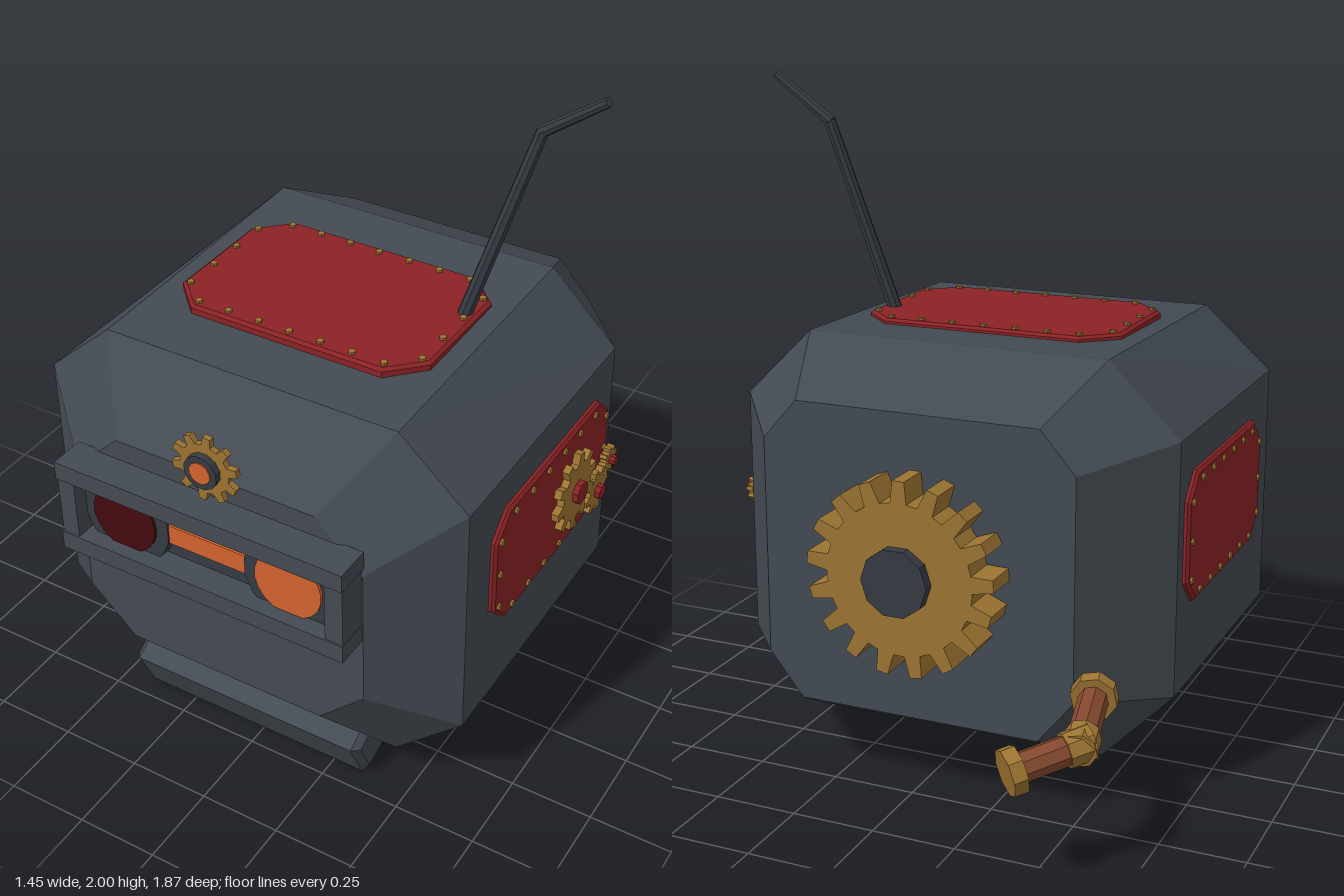
import * as THREE from 'three';

const mat = (name, color) => {
  const m = new THREE.MeshStandardMaterial({ color });
  m.name = name;
  return m;
};

export function createModel() {
  const steel = mat('steel', 0x434a52);
  const darkSteel = mat('darkSteel', 0x353b42);
  const red = mat('redPanel', 0x8a2225);
  const brass = mat('brass', 0x9c7432);
  const copper = mat('copper', 0x85492f);
  const orange = mat('orangeGlow', 0xd2632e);
  const darkLens = mat('darkLens', 0x440b0f);

  const root = new THREE.Group();
  root.name = 'robotHead';
  const CX = -0.023;

  // Adds a flat-faced mesh to a parent
  function add(parent, name, geo, material, x = 0, y = 0, z = 0) {
    const g = geo.index ? geo.toNonIndexed() : geo;
    g.computeVertexNormals();
    const m = new THREE.Mesh(g, material);
    m.name = name;
    m.position.set(x, y, z);
    parent.add(m);
    return m;
  }
  const box = (w, h, d) => new THREE.BoxGeometry(w, h, d);
  // Disc whose axis is z, starting at z = 0
  const disc = (r, depth, sides = 12) =>
    new THREE.CylinderGeometry(r, r, depth, sides).rotateX(Math.PI / 2)
      .rotateZ(Math.PI / sides).translate(0, 0, depth / 2);

  // Rod between two points
  const V = (x, y, z) => new THREE.Vector3(x, y, z);
  function rod(parent, name, a, b, r0, r1, sides, material) {
    const dir = b.clone().sub(a);
    const mid = a.clone().add(b).multiplyScalar(0.5);
    const m = add(parent, name, new THREE.CylinderGeometry(r1, r0, dir.length(), sides),
      material, mid.x, mid.y, mid.z);
    m.quaternion.setFromUnitVectors(V(0, 1, 0), dir.normalize());
    return m;
  }

  // Head shell: octagonal sections from back to front
  const section = (z, side, top, yb, s0, s1, yt) =>
    [[side, s0], [side, s1], [top, yt], [-top, yt], [-side, s1], [-side, s0], [-top, yb], [top, yb]]
      .map(([x, y]) => [x + CX, y, z]);
  const rings = [
    section(-0.51, 0.475, 0.37, 0.24, 0.37, 1.02, 1.14),
    section(-0.245, 0.678, 0.465, 0.10, 0.32, 1.07, 1.28),
    section(0.65, 0.678, 0.465, 0.12, 0.32, 1.07, 1.262),
    section(0.83, 0.465, 0.32, 0.33, 0.47, 0.91, 1.05),
  ];
  const pos = [];
  for (let k = 0; k < rings.length - 1; k++) {
    for (let i = 0; i < 8; i++) {
      const j = (i + 1) % 8, a = rings[k], b = rings[k + 1];
      pos.push(...a[i], ...a[j], ...b[j], ...a[i], ...b[j], ...b[i]);
    }
  }
  for (let i = 1; i < 7; i++) {
    const f = rings[3], b = rings[0];
    pos.push(...f[0], ...f[i], ...f[i + 1], ...b[0], ...b[i + 1], ...b[i]);
  }
  const shell = new THREE.BufferGeometry();
  shell.setAttribute('position', new THREE.Float32BufferAttribute(pos, 3));
  add(root, 'headShell', shell, steel);

  // Jaw: tilted slab with bevelled edges, profile drawn in z and y
  const jawShape = new THREE.Shape(
    [[0.72, 0.13], [0.69, 0.148], [0.40, 0.25], [0.38, 0.14], [0.672, 0.024]]
      .map(([z, y]) => new THREE.Vector2(-z, y)));
  const jaw = new THREE.ExtrudeGeometry(jawShape, {
    depth: 0.755, bevelEnabled: true, bevelThickness: 0.02, bevelSize: 0.02, bevelSegments: 1,
  }).translate(0, 0, -0.3775).rotateY(Math.PI / 2);
  add(root, 'jaw', jaw, steel, -0.032, 0, 0);

  // Visor frame
  const visor = new THREE.Group();
  visor.name = 'visor';
  root.add(visor);
  add(visor, 'visorTopRail', box(0.925, 0.057, 0.11), steel, CX, 0.957, 0.875);
  add(visor, 'visorBottomRail', box(0.925, 0.057, 0.11), steel, CX, 0.713, 0.875);
  add(visor, 'visorBack', box(0.9, 0.2, 0.03), darkSteel, CX, 0.835, 0.835);
  for (const s of [-1, 1]) {
    add(visor, 'visorEndPost', box(0.055, 0.19, 0.1), steel, CX + s * 0.433, 0.835, 0.875);
    add(visor, 'eyeRing', disc(0.145, 0.05, 16), darkSteel, CX + s * 0.268, 0.835, 0.83);
    add(visor, s < 0 ? 'darkEye' : 'litEye', disc(0.105, 0.009, 20), s < 0 ? darkLens : orange,
      CX + s * 0.268, 0.835, 0.88);
  }
  add(visor, 'glowBar', box(0.26, 0.062, 0.03), orange, CX, 0.833, 0.86);

  // Gear facing +z, starting at z = 0
  function gearGeometry(r, root_, teeth, depth, phase = 0) {
    const pts = [];
    for (let i = 0; i < teeth; i++) {
      for (const [f, rad] of [[-0.30, root_], [-0.17, r], [0.17, r], [0.30, root_]]) {
        const a = ((i + f) / teeth) * Math.PI * 2 + phase;
        pts.push(new THREE.Vector2(Math.cos(a) * rad, Math.sin(a) * rad));
      }
    }
    return new THREE.ExtrudeGeometry(new THREE.Shape(pts), { depth, bevelEnabled: false });
  }

  // Forehead gear
  add(root, 'foreheadGear', gearGeometry(0.105, 0.078, 10, 0.018, 0.2), brass, CX, 1.1, 0.845);
  add(root, 'foreheadHub', disc(0.053, 0.02), darkSteel, CX, 1.1, 0.863);
  add(root, 'foreheadLight', disc(0.034, 0.004), orange, CX, 1.1, 0.882);

  // Riveted panel facing +z
  function panel(name, w, h, c, cols, rows, rowGap) {
    const g = new THREE.Group();
    g.name = name;
    const b = 0.01, x = w / 2 - b, y = h / 2 - b;
    const shape = new THREE.Shape(
      [[x, c - y], [x, y - c], [x - c, y], [c - x, y], [-x, y - c], [-x, c - y], [c - x, -y], [x - c, -y]]
        .map((p) => new THREE.Vector2(...p)));
    add(g, 'panelPlate', new THREE.ExtrudeGeometry(shape, {
      depth: 0.02, bevelEnabled: true, bevelThickness: 0.008, bevelSize: b, bevelSegments: 1,
    }), red, 0, 0, -0.01);
    const rivet = (px, py) => add(g, 'rivet', disc(0.011, 0.01, 6), brass, px, py, 0.015);
    for (const s of [-1, 1]) {
      for (let i = 0; i < cols; i++) rivet((i - (cols - 1) / 2) * 0.1, s * (h / 2 - 0.028));
      for (let i = 0; i < rows; i++) rivet(s * (w / 2 - 0.027), (i - (rows - 1) / 2) * rowGap);
    }
    root.add(g);
    return g;
  }
  const topPanel = panel('topPanel', 0.81, 0.54, 0.09, 7, 4, 0.115);
  topPanel.rotation.x = -Math.PI / 2;
  topPanel.position.set(CX, 1.274, 0.2);
  const leftPanel = panel('leftPanel', 0.72, 0.39, 0.07, 6, 3, 0.115);
  leftPanel.rotation.y = Math.PI / 2;
  leftPanel.position.set(0.654, 0.765, 0.16);
  const rightPanel = panel('rightPanel', 0.72, 0.39, 0.07, 6, 3, 0.115);
  rightPanel.rotation.y = -Math.PI / 2;
  rightPanel.position.set(-0.70, 0.765, 0.16);

  // Gear train on the left panel
  const train = new THREE.Group();
  train.name = 'sideGears';
  train.rotation.y = Math.PI / 2;
  train.position.x = 0.672;
  root.add(train);
  for (const [z, y, r, teeth, hub] of [
    [0.075, 0.78, 0.125, 10, 0.036], [-0.075, 0.68, 0.073, 8, 0.024], [-0.16, 0.74, 0.043, 8, 0.016],
  ]) {
    add(train, 'sideGear', gearGeometry(r, r * 0.74, teeth, 0.022, 0.15), brass, -z, y, 0.011);
    add(train, 'sideGearHub', disc(hub, 0.05, 8), red, -z, y, 0);
  }

  // Large gear on the back
  add(root, 'backGear', gearGeometry(0.285, 0.222, 17, 0.115, 0.1), brass, CX, 0.695, -0.617);
  add(root, 'backGearHub', disc(0.1, 0.05, 10), darkSteel, CX, 0.695, -0.65);

  // Crank handle
  const crank = new THREE.Group();
  crank.name = 'crank';
  root.add(crank);
  const a = V(-0.562, 0.41, -0.515), b = V(-0.61, 0.375, -0.745), c = V(-0.475, 0.335, -0.88);
  const along = (p, q, d) => p.clone().add(q.clone().sub(p).normalize().multiplyScalar(d));
  rod(crank, 'crankArm', a, b, 0.042, 0.042, 8, copper);
  rod(crank, 'crankGrip', b, c, 0.042, 0.042, 8, copper);
  rod(crank, 'crankBaseCap', along(a, b, -0.02), along(a, b, 0.02), 0.066, 0.066, 8, brass);
  rod(crank, 'crankEndCap', along(c, b, 0.02), along(c, b, -0.02), 0.066, 0.066, 8, brass);
  rod(crank, 'crankElbowCollar', along(b, a, 0.045), along(b, a, -0.03), 0.05, 0.05, 8, brass);
  rod(crank, 'crankElbowCollar', along(b, c, 0.045), along(b, c, -0.03), 0.05, 0.05, 8, brass);

  // Bent antenna
  const p0 = V(0.335, 1.26, 0.115), p1 = V(0.51, 1.86, 0.025), p2 = V(0.688, 1.988, 0.025);
  rod(root, 'antennaLower', p0, p1, 0.022, 0.018, 8, darkSteel);
  rod(root, 'antennaUpper', along(p1, p2, -0.008), p2, 0.018, 0.014, 8, darkSteel);

  return root;
}
